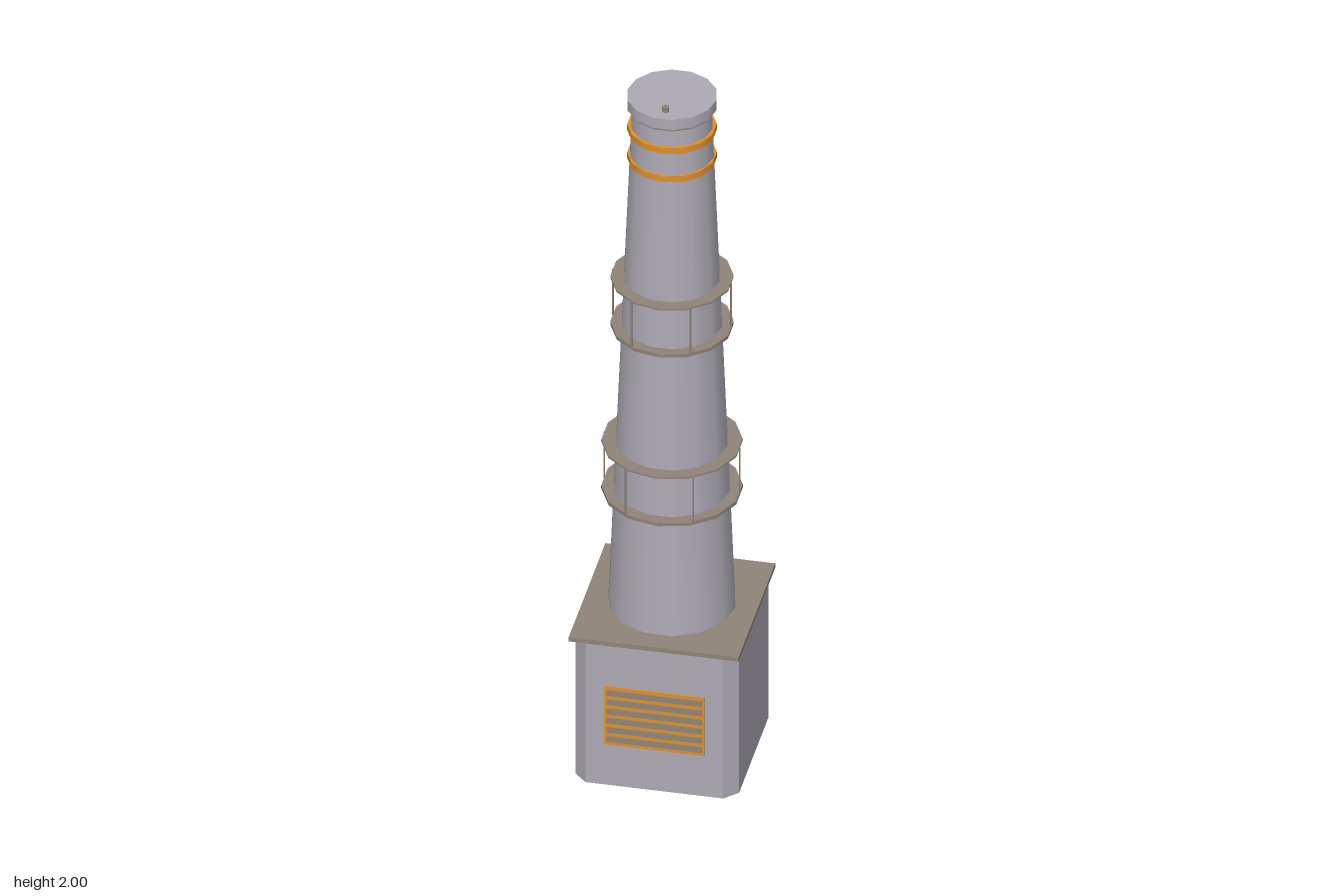
import * as THREE from 'three';

const SIDES = 14;

export function createModel() {
  const model = new THREE.Group();
  model.name = 'chimneyStack';

  const mat = (name, color) => {
    const m = new THREE.MeshStandardMaterial({ color });
    m.name = name;
    return m;
  };
  const concrete = mat('concrete grey', 0xaeaab5);
  const steel = mat('brown steel', 0x8f8579);
  const orange = mat('orange paint', 0xe0902a);

  const add = (name, geometry, material, x = 0, y = 0, z = 0, parent = model) => {
    const mesh = new THREE.Mesh(geometry, material);
    mesh.name = name;
    mesh.position.set(x, y, z);
    parent.add(mesh);
    return mesh;
  };
  // Cylinder standing between two heights
  const drum = (name, r0, r1, y0, y1, material, parent = model) =>
    add(name, new THREE.CylinderGeometry(r1, r0, y1 - y0, SIDES), material, 0, (y0 + y1) / 2, 0, parent);

  // Base block with chamfered vertical corners
  const h = 0.213, c = 0.179;
  const plan = new THREE.Shape(
    [[h, -c], [h, c], [c, h], [-c, h], [-h, c], [-h, -c], [-c, -h], [c, -h]]
      .map(([x, y]) => new THREE.Vector2(x, y)));
  const block = new THREE.ExtrudeGeometry(plan, { depth: 0.43, bevelEnabled: false });
  block.rotateX(-Math.PI / 2);
  add('baseBlock', block, concrete);
  add('baseSlab', new THREE.BoxGeometry(0.442, 0.013, 0.442), steel, 0, 0.4355, 0);

  // Front vent: painted panel and frame with louvre slats
  const vent = new THREE.Group();
  vent.name = 'vent';
  model.add(vent);
  add('ventPanel', new THREE.BoxGeometry(0.26, 0.177, 0.003), orange, 0, 0.213, 0.2142, vent);
  for (let i = 0; i < 6; i++) {
    add('ventSlat', new THREE.BoxGeometry(0.246, 0.017, 0.004), steel, 0, 0.143 + i * 0.028, 0.2162, vent);
  }

  // Tapering shaft, collar and cap
  drum('shaft', 0.165, 0.103, 0.44, 1.955, concrete).rotation.y = Math.PI / 2;
  drum('collar', 0.108, 0.108, 1.945, 1.955, steel).rotation.y = Math.PI / 2;
  drum('cap', 0.116, 0.116, 1.955, 1.986, concrete).rotation.y = Math.PI / 2;
  add('beacon', new THREE.CylinderGeometry(0.009, 0.009, 0.016, 12), steel, 0, 1.992, 0.077);

  // Painted bands near the top
  for (const y of [1.802, 1.888]) drum('paintedBand', 0.114, 0.114, y - 0.009, y + 0.009, orange);

  // Walkways: deck, upper rim and six posts
  for (const [y, r] of [[0.785, 0.18], [1.285, 0.157]]) {
    const walkway = new THREE.Group();
    walkway.name = 'walkway';
    model.add(walkway);
    drum('deck', r, r, y, y + 0.01, steel, walkway);
    drum('rim', r, r, y + 0.144, y + 0.149, steel, walkway);
    for (let i = 0; i < 6; i++) {
      const a = i * Math.PI / 3, pr = r * 0.98;
      add('post', new THREE.CylinderGeometry(0.0025, 0.0025, 0.14, 6), steel,
        Math.cos(a) * pr, y + 0.077, Math.sin(a) * pr, walkway);
    }
  }
  return model;
}
